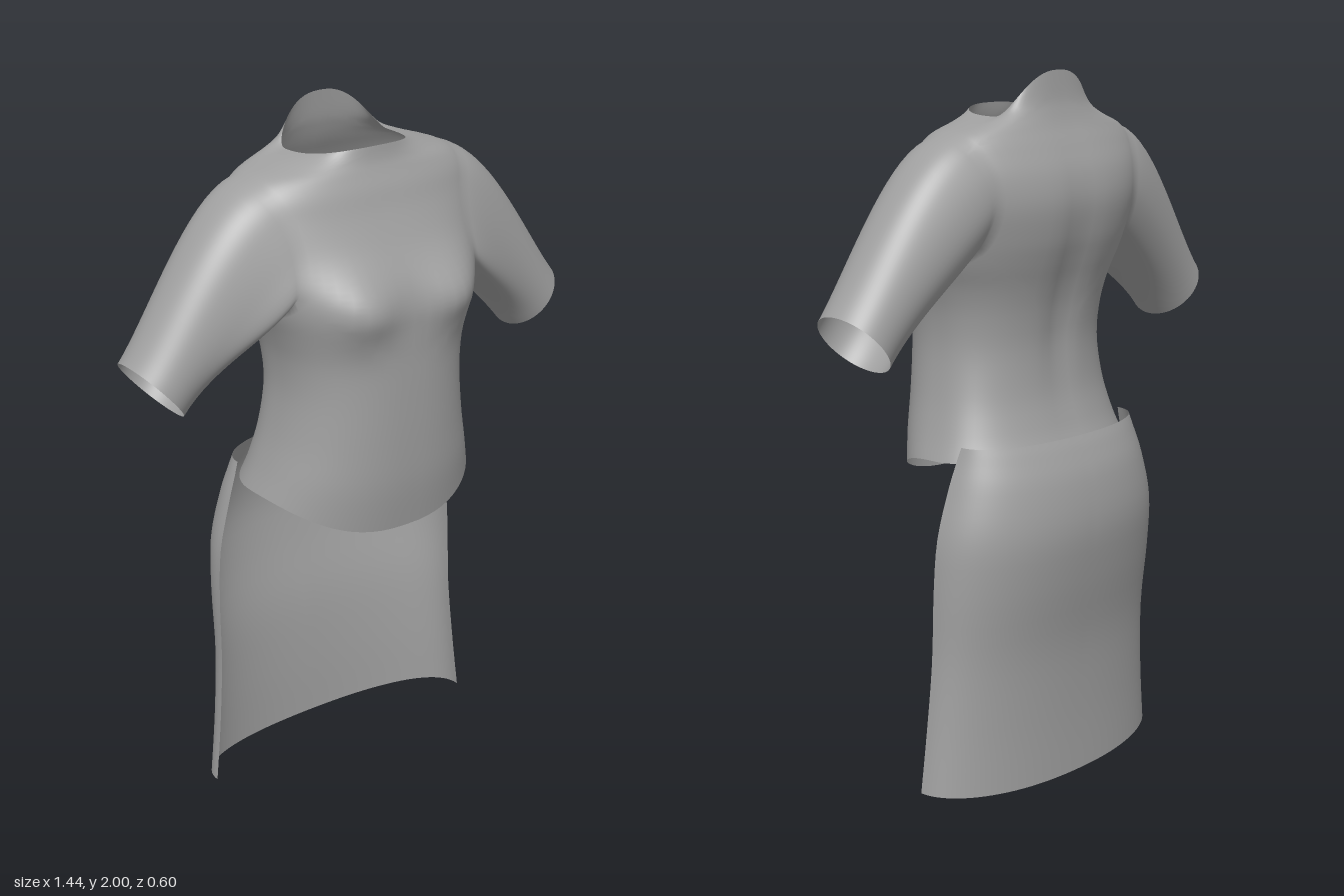
import * as THREE from 'three';
import { mergeGeometries, mergeVertices } from 'three/addons/utils/BufferGeometryUtils.js';

const { lerp, smoothstep, clamp } = THREE.MathUtils;

// Smooth interpolation between the rows of a table of section sizes
function sampleRows(rows, v) {
  const n = rows.length - 1;
  const i = Math.min(Math.floor(v), n - 1), t = v - i;
  const at = (k) => rows[clamp(k, 0, n)];
  return rows[0].map((_, c) => {
    const [p, a, b, q] = [at(i - 1)[c], at(i)[c], at(i + 1)[c], at(i + 2)[c]];
    return a + 0.5 * t * (b - p + t * (2 * p - 5 * a + 4 * b - q + t * (3 * (a - b) + q - p)));
  });
}

// Grid of points (columns x rows) turned into a surface; skip() leaves a hole
function gridSurface(cols, rows, point, skip = () => false) {
  const pos = [], index = [];
  for (let j = 0; j <= rows; j++) for (let i = 0; i <= cols; i++) pos.push(...point(i, j));
  for (let j = 0; j < rows; j++) for (let i = 0; i < cols; i++) {
    if (skip(i, j)) continue;
    const a = j * (cols + 1) + i, b = a + 1, d = a + cols + 1, c = d + 1;
    index.push(a, c, b, a, d, c);
  }
  const g = new THREE.BufferGeometry();
  g.setAttribute('position', new THREE.Float32BufferAttribute(pos, 3));
  g.setIndex(index);
  return g;
}

// Copy mirrored in x, with the corner order reversed
function mirrored(g) {
  const m = g.clone().scale(-1, 1, 1);
  m.setIndex(Array.from(g.index.array).reverse());
  return m;
}

// Join a left half with its mirror image and smooth across the seams
function symmetric(parts) {
  const g = mergeVertices(mergeGeometries([...parts, ...parts.map(mirrored)]), 1e-4);
  g.computeVertexNormals();
  return g;
}

// Torso sections: y at side, front, back; half width; front z, back z, z of widest point
const TORSO = [
  [0.95, 0.84, 0.98, 0.35, 0.25, -0.205, 0.0],
  [1.02, 0.97, 1.03, 0.326, 0.267, -0.185, 0.01],
  [1.12, 1.10, 1.12, 0.30, 0.273, -0.162, 0.02],
  [1.24, 1.24, 1.24, 0.283, 0.275, -0.155, 0.03],
  [1.34, 1.34, 1.34, 0.288, 0.275, -0.167, 0.03],
  [1.42, 1.42, 1.42, 0.308, 0.275, -0.187, 0.03],
  [1.49, 1.49, 1.49, 0.335, 0.272, -0.21, 0.02],
  [1.56, 1.56, 1.56, 0.355, 0.253, -0.23, 0.01],
  [1.65, 1.65, 1.65, 0.375, 0.207, -0.242, -0.01],
  [1.73, 1.73, 1.73, 0.385, 0.17, -0.23, -0.02],
  [1.79, 1.79, 1.80, 0.375, 0.148, -0.2, -0.03],
  [1.835, 1.83, 1.85, 0.33, 0.13, -0.175, -0.04],
  [1.86, 1.855, 1.89, 0.255, 0.12, -0.16, -0.05],
  [1.873, 1.877, 1.93, 0.205, 0.115, -0.15, -0.06],
  [1.88, 1.9, 2.0, 0.172, 0.112, -0.142, -0.065],
];

const COLS = 36, STEP = 4, ROWS = (TORSO.length - 1) * STEP;
// Armhole block in the torso grid: centre and half size
const ARM = { i: 18, j: 34, hi: 9, hj: 10 };

function torsoPoint(i, j) {
  // Round the rectangular armhole into an oval, fading away from it
  let du = (i - ARM.i) / ARM.hi, dv = (j - ARM.j) / ARM.hj;
  const m = Math.max(Math.abs(du), Math.abs(dv));
  if (m >= 1) {
    const f = lerp(m / Math.hypot(du, dv), 1, smoothstep(m, 1, 2));
    du *= f;
    dv *= f;
  }
  const angle = du * Math.PI / 4;
  const [ySide, yFront, yBack, w, front, back, mid] = sampleRows(TORSO, (ARM.j + dv * ARM.hj) / STEP);
  const s = Math.sin(angle), e = 2 / 2.4;
  const x = w * Math.pow(Math.max(Math.cos(angle), 0), e);
  const y = lerp(ySide, s > 0 ? yFront : yBack, s * s);
  let z = lerp(mid, s > 0 ? front : back, Math.pow(Math.abs(s), e));
  // Bust in front, spine groove behind
  if (s > 0) z += 0.047 * s * Math.exp(-(((x - 0.17) / 0.1) ** 2) - ((y - 1.5) / 0.09) ** 2);
  else z += 0.02 * s * s * Math.exp(-((x / 0.05) ** 2) - ((y - 1.4) / 0.27) ** 2);
  return [x, y, z];
}

// Armhole edge as a loop of grid positions
function armholeLoop() {
  const { i, j, hi, hj } = ARM, loop = [];
  for (let k = -hi; k < hi; k++) loop.push([i + k, j - hj]);
  for (let k = -hj; k < hj; k++) loop.push([i + hi, j + k]);
  for (let k = hi; k > -hi; k--) loop.push([i + k, j + hj]);
  for (let k = hj; k > -hj; k--) loop.push([i - hi, j + k]);
  return [...loop, loop[0]];
}

function makeShirt() {
  const inArmhole = (i, j) => Math.abs(i + 0.5 - ARM.i) < ARM.hi && Math.abs(j + 0.5 - ARM.j) < ARM.hj;
  const torso = gridSurface(COLS, ROWS, torsoPoint, inArmhole);

  // Sleeve: each armhole point runs along a curve to the oval cuff
  const curves = armholeLoop().map(([i, j]) => {
    const du = (i - ARM.i) / ARM.hi, dv = (j - ARM.j) / ARM.hj, r = Math.hypot(du, dv);
    const up = dv / r, side = du / r, k = (up + 1) / 2;
    const start = new THREE.Vector3(...torsoPoint(i, j));
    const end = new THREE.Vector3(0.65 + 0.07 * up, 1.32 + 0.082 * up, -0.015 + 0.115 * side);
    return new THREE.CubicBezierCurve3(
      start,
      start.clone().add(new THREE.Vector3(lerp(0.06, 0.15, k), lerp(-0.08, -0.04, k), 0)),
      end.clone().add(new THREE.Vector3(-0.1, 0.12, 0)),
      end,
    );
  });
  const rings = 16;
  const sleeve = gridSurface(curves.length - 1, rings, (i, j) => curves[i].getPoint(j / rings).toArray());
  return symmetric([torso, sleeve]);
}

// Skirt back panel: y at side, y at back, half width, side-edge z, back z
const SKIRT = [
  [0.02, 0.0, 0.46, -0.05, -0.232],
  [0.2, 0.19, 0.44, -0.055, -0.233],
  [0.4, 0.4, 0.424, -0.062, -0.245],
  [0.6, 0.6, 0.421, -0.068, -0.28],
  [0.75, 0.75, 0.41, -0.073, -0.298],
  [0.88, 0.88, 0.375, -0.08, -0.283],
  [0.96, 0.96, 0.347, -0.087, -0.255],
  [1.0, 1.0, 0.333, -0.092, -0.235],
];

function makeSkirt() {
  const cols = 24, rows = (SKIRT.length - 1) * 4;
  return symmetric([gridSurface(cols, rows, (i, j) => {
    const [ySide, yBack, w, edge, back] = sampleRows(SKIRT, j / 4);
    const a = (1 - i / cols) * Math.PI / 2, s = Math.sin(a), e = 2 / 2.2;
    return [
      w * Math.pow(Math.max(Math.cos(a), 0), e),
      lerp(ySide, yBack, s * s),
      lerp(edge, back, Math.pow(s, e)),
    ];
  })]);
}

export function createModel() {
  const cloth = new THREE.MeshStandardMaterial({ color: 0xa0a0a0, side: THREE.DoubleSide });
  cloth.name = 'grey cloth';
  const model = new THREE.Group();
  model.name = 'outfit';
  for (const [name, geometry] of [['shirt', makeShirt()], ['skirtBack', makeSkirt()]]) {
    const mesh = new THREE.Mesh(geometry, cloth);
    mesh.name = name;
    model.add(mesh);
  }
  return model;
}
